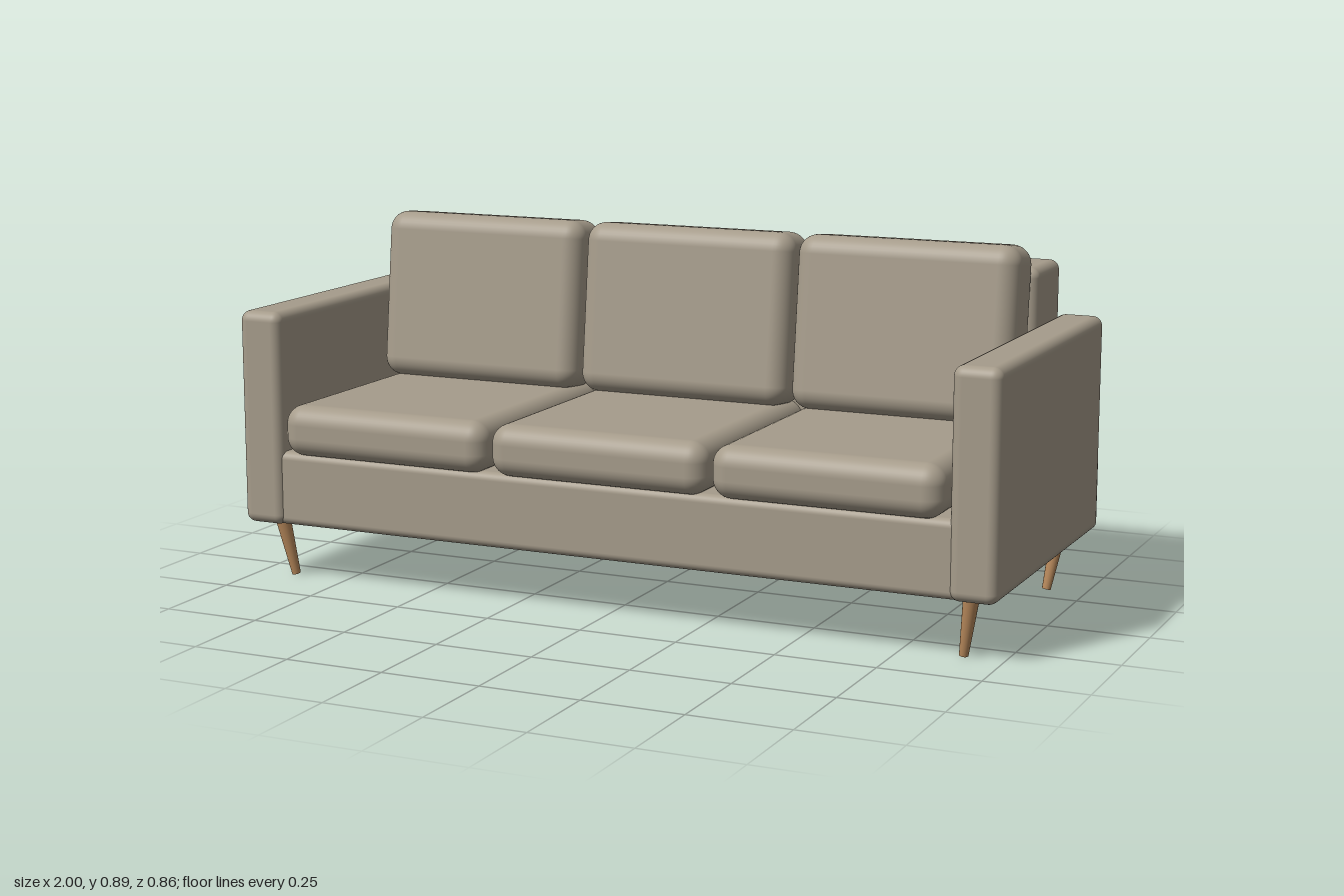
import * as THREE from 'three';
import { RoundedBoxGeometry } from 'three/addons/geometries/RoundedBoxGeometry.js';

const fabric = new THREE.MeshStandardMaterial({ color: 0xa69c8b });
fabric.name = 'taupe fabric';
const wood = new THREE.MeshStandardMaterial({ color: 0xb98a5c });
wood.name = 'light wood';

// Upholstered block given by its minimum and maximum corners
function block(name, min, max, radius) {
  const size = max.map((v, i) => v - min[i]);
  const mesh = new THREE.Mesh(new RoundedBoxGeometry(...size, 5, radius), fabric);
  mesh.position.set(...max.map((v, i) => (v + min[i]) / 2));
  mesh.name = name;
  return mesh;
}

// Tapered round leg running from its foot to its top
function leg(name, foot, top) {
  const axis = new THREE.Vector3().subVectors(top, foot);
  const mesh = new THREE.Mesh(new THREE.CylinderGeometry(0.02, 0.011, axis.length(), 24), wood);
  mesh.position.addVectors(foot, top).multiplyScalar(0.5);
  mesh.quaternion.setFromUnitVectors(new THREE.Vector3(0, 1, 0), axis.normalize());
  mesh.name = name;
  return mesh;
}

export function createModel() {
  const sofa = new THREE.Group();
  sofa.name = 'sofa';

  // Frame
  sofa.add(block('base', [-0.999, 0.146, -0.429], [0.999, 0.335, 0.4], 0.02));
  sofa.add(block('backrest', [-0.885, 0.16, -0.43], [0.885, 0.825, -0.225], 0.025));

  // Arms and splayed legs, mirrored
  for (const side of [1, -1]) {
    const label = side > 0 ? 'left' : 'right';
    const xs = [0.883 * side, side].sort((a, b) => a - b);
    sofa.add(block(label + 'Arm', [xs[0], 0.145, -0.428], [xs[1], 0.69, 0.41], 0.025));
    for (const [end, footZ, topZ] of [['Front', 0.328, 0.35], ['Back', -0.325, -0.346]]) {
      sofa.add(leg(label + end + 'Leg',
        new THREE.Vector3(0.9 * side, 0.002, footZ),
        new THREE.Vector3(0.924 * side, 0.16, topZ)));
    }
  }

  // Three seat cushions with leaning back cushions
  for (let i = -1; i <= 1; i++) {
    const x = i * 0.584;
    sofa.add(block('seatCushion', [x - 0.287, 0.33, -0.235], [x + 0.287, 0.46, 0.43], 0.048));
    const back = block('backCushion', [x - 0.287, 0.452, -0.241], [x + 0.287, 0.888, -0.081], 0.048);
    back.rotation.x = -0.113;
    sofa.add(back);
  }
  return sofa;
}
